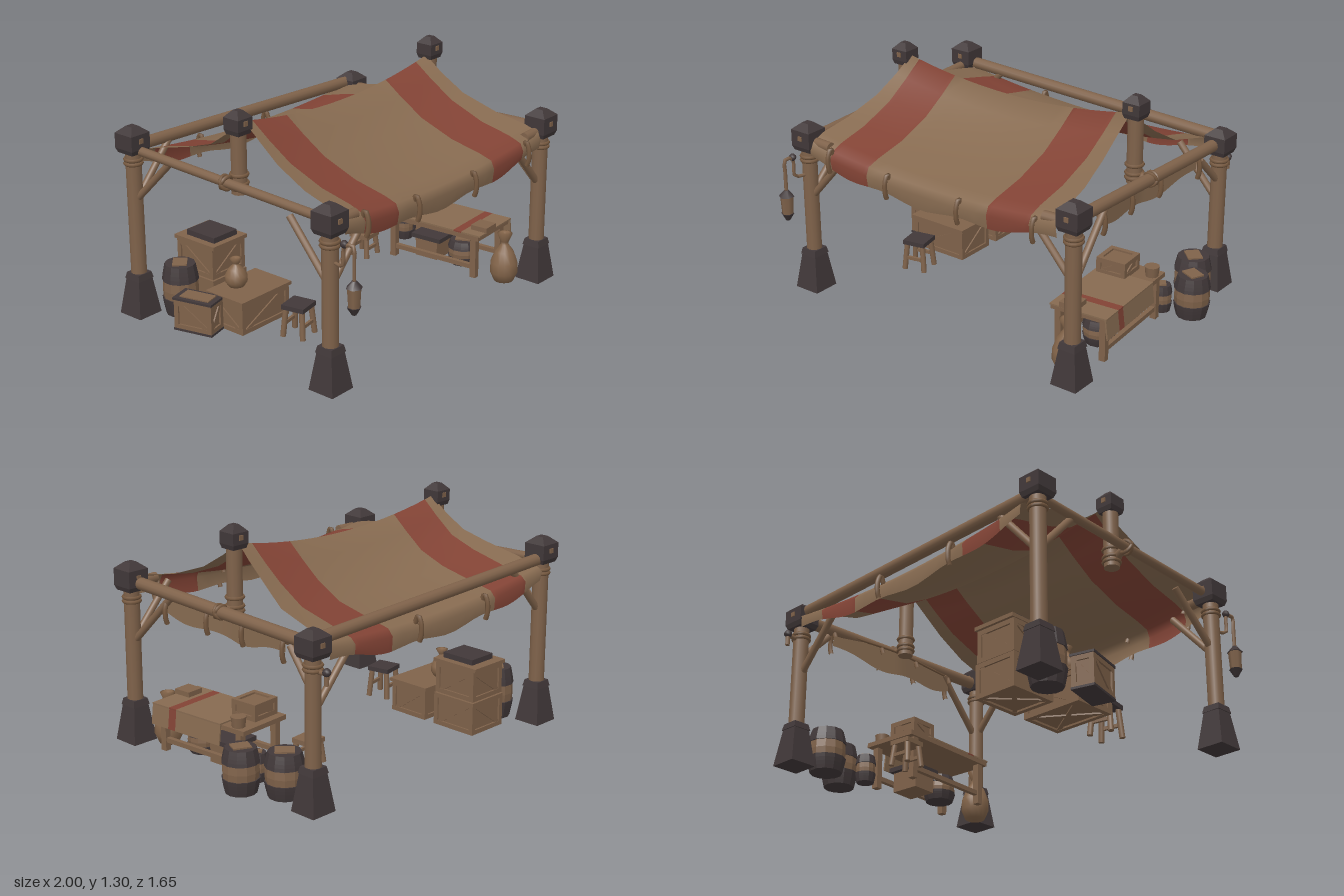
import * as THREE from 'three';

const mat = (name, color, side = THREE.FrontSide) => {
  const m = new THREE.MeshStandardMaterial({ color, side });
  m.name = name;
  return m;
};
const V = (x, y, z) => new THREE.Vector3(x, y, z);

export function createModel() {
  const root = new THREE.Group();
  const wood = mat('wood', 0x7f624a);
  const iron = mat('dark iron', 0x413839);
  const rope = mat('rope', 0x75583f);
  const sackcloth = mat('sackcloth', 0x84654a);
  const canvas = mat('tan canvas', 0x866a50, THREE.DoubleSide);
  const red = mat('red canvas', 0x824335, THREE.DoubleSide);

  const add = (name, geo, material, x = 0, y = 0, z = 0, parent = root) => {
    const m = new THREE.Mesh(geo, material);
    m.name = name;
    m.position.set(x, y, z);
    parent.add(m);
    return m;
  };
  const box = (name, w, h, d, material, x, y, z, parent) =>
    add(name, new THREE.BoxGeometry(w, h, d), material, x, y, z, parent);
  const group = (name, x, y, z, turn = 0, parent = root) => {
    const g = new THREE.Group();
    g.name = name;
    g.position.set(x, y, z);
    g.rotation.y = turn;
    parent.add(g);
    return g;
  };
  // round pole between two points
  const pole = (name, a, b, r, material = wood, parent = root) => {
    const m = add(name, new THREE.CylinderGeometry(r, r, a.distanceTo(b), 12), material, 0, 0, 0, parent);
    m.position.copy(a).add(b).multiplyScalar(0.5);
    m.quaternion.setFromUnitVectors(V(0, 1, 0), b.clone().sub(a).normalize());
    return m;
  };
  const tube = (name, pts, r, material = rope) =>
    add(name, new THREE.TubeGeometry(new THREE.CatmullRomCurve3(pts), 14, r, 6), material);
  const ring = (name, x, y, z, r, tilt = Math.PI / 2) => {
    const m = add(name, new THREE.TorusGeometry(r, 0.01, 6, 16), rope, x, y, z);
    m.rotation.x = tilt;
    return m;
  };
  // square tapered block, w = full widths at bottom and top
  const taper = (name, w0, w1, h, x, y, z) => {
    const g = new THREE.CylinderGeometry(w1 / Math.SQRT2, w0 / Math.SQRT2, h, 4, 1).toNonIndexed();
    g.rotateY(Math.PI / 4);
    g.computeVertexNormals();
    return add(name, g, iron, x, y, z);
  };
  const cap = (x, z, y0, y1, w) => {
    taper('capCollar', w * 0.85, w, 0.025, x, y0 + 0.0125, z);
    box('capBlock', w, y1 - y0 - 0.06, w, iron, x, (y0 + y1) / 2 - 0.005, z);
    taper('capPeak', w, w * 0.35, 0.035, x, y1 - 0.0175, z);
    for (const s of [-1, 1]) box('capStud', 0.025, 0.025, 0.008, wood, x, (y0 + y1) / 2, z + s * (w / 2 + 0.002));
  };

  // corner posts: x, z, cap bottom, cap top, drop of the side brace
  const corners = [[-0.92, 0.625, 0.83, 0.98, 0.22], [0.8, 0.625, 0.85, 1.0, 0.24],
    [-0.92, -0.705, 0.92, 1.06, 0.22], [0.8, -0.705, 0.8, 0.94, 0.12]];
  for (const [x, z, y0, y1, drop] of corners) {
    const sx = Math.sign(x), sz = Math.sign(z), b = y0 - 0.02;
    taper('foot', 0.152, 0.095, 0.2, x, 0.12, z);
    taper('footCollar', 0.105, 0.09, 0.035, x, 0.235, z);
    pole('post', V(x, 0.2, z), V(x, y1 - 0.05, z), 0.042);
    for (const dy of [0, 0.022]) ring('postBinding', x, b - 0.04 + dy, z, 0.043);
    pole('braceAlongSide', V(x, b - drop, z - sz * 0.03), V(x - sx * 0.02, b + 0.03, z - sz * (drop + 0.05)), 0.019);
    pole('braceAcross', V(x - sx * 0.02, b - 0.24, z), V(x - sx * 0.25, b + 0.02, z), 0.019);
    cap(x, z, y0, y1, 0.125);
    if (z > 0) pole('cornerStub', V(x, 0.88, z), V(x - sx * 0.17, 0.88, z + 0.01), 0.028);
  }

  // horizontal poles
  pole('rightRail', V(0.79, 0.895, 0.625), V(0.79, 0.855, -0.705), 0.033);
  pole('leftRail', V(-0.915, 0.89, 0.625), V(-0.915, 0.935, -0.705), 0.024);
  pole('backRail', V(-0.92, 0.945, -0.715), V(0.8, 0.885, -0.715), 0.032);

  // short ridge posts lashed to the side rails
  for (const [x, rail, railY, top] of [[-0.82, -0.915, 0.912, 1.26], [0.69, 0.79, 0.875, 1.3]]) {
    pole('ridgePost', V(x, 0.83, -0.05), V(x, top - 0.05, -0.05), 0.041);
    cap(x, -0.05, top - 0.12, top, 0.1);
    pole('ridgePeg', V(x, 0.87, -0.05), V(rail, railY, -0.05), 0.022);
    for (const dy of [0.86, 0.885, 0.93]) ring('ridgeBinding', x, dy, -0.05, 0.042);
    for (const t of [-0.4, 0.4]) ring('railLashing', rail, railY, -0.05, 0.035, t);
  }

  // sagging canopy: rows of [z, edge height, middle height, left x, right x]
  const rows = [
    [-0.755, 0.8, 0.72, -0.85, 0.74], [-0.76, 0.86, 0.79, -0.86, 0.74], [-0.73, 0.88, 0.83, -0.86, 0.74],
    [-0.6, 0.92, 0.85, -0.85, 0.73], [-0.4, 0.97, 0.89, -0.83, 0.71], [-0.25, 1.045, 0.96, -0.81, 0.68],
    [-0.14, 1.13, 1.045, -0.79, 0.67], [-0.05, 1.21, 1.12, -0.78, 0.66], [0.06, 1.13, 1.045, -0.79, 0.66],
    [0.2, 1.04, 0.96, -0.81, 0.67], [0.4, 0.96, 0.89, -0.84, 0.7], [0.58, 0.92, 0.855, -0.86, 0.72],
    [0.655, 0.89, 0.835, -0.87, 0.73], [0.675, 0.85, 0.79, -0.87, 0.73], [0.665, 0.8, 0.72, -0.86, 0.73]];
  const panel = (name, xa, xb, material) => {
    const n = 10, pos = [], idx = [];
    rows.forEach(([z, ye, ym, xl, xr], r) => {
      const a = xa ?? xl, b = xb ?? xr, hem = r === 0 || r === rows.length - 1;
      for (let i = 0; i <= n; i++) {
        const x = a + (b - a) * i / n;
        const y = ym + (ye - ym) * ((x + 0.07) / 0.78) ** 2 - (z < -0.3 ? 0.03 * x : 0);
        pos.push(x, y + (hem ? 0.012 * Math.sin(x * 13) : 0), z);
        if (r && i < n) {
          const p = (r - 1) * (n + 1) + i, q = p + n + 1;
          idx.push(p, q, p + 1, p + 1, q, q + 1);
        }
      }
    });
    const g = new THREE.BufferGeometry();
    g.setAttribute('position', new THREE.Float32BufferAttribute(pos, 3));
    g.setIndex(idx);
    g.computeVertexNormals();
    add(name, g, material);
  };
  const cuts = [null, -0.72, -0.47, 0.31, 0.57, null];
  for (let i = 0; i < 5; i++) panel(i % 2 ? 'canopyStripe' : 'canopyPanel', cuts[i], cuts[i + 1], i % 2 ? red : canvas);

  // side valance, drawn in at the ridge post and out to the rail at its ends
  const valanceX = z => 0.735 + 0.1 * Math.abs(z + 0.05);
  const val = new THREE.PlaneGeometry(0.87, 0.13, 24, 2);
  val.rotateY(Math.PI / 2);
  val.translate(0, 0.79, -0.065);
  const vp = val.attributes.position;
  for (let i = 0; i < vp.count; i++) {
    const z = vp.getZ(i), low = vp.getY(i) < 0.78 ? 1 : 0;
    vp.setX(i, valanceX(z));
    vp.setY(i, vp.getY(i) + low * (0.012 * Math.sin(z * 15 + 1) + 0.25 * (z + 0.065) ** 2));
  }
  val.computeVertexNormals();
  add('sideValance', val, canvas);
  tube('valanceRope', [0.4, 0.2, -0.05, -0.3, -0.52].map(z => V(valanceX(z), 0.86, z)), 0.007);

  // hanging cloth ties
  const tie = (x, y, z, dx, dz) => tube('clothTie', [V(x - dx, y, z - dz), V(x, y + 0.04, z), V(x + dx, y, z + dz),
    V(x + dx, y - 0.06, z + dz), V(x + dx * 0.5, y - 0.09, z + dz * 0.5)], 0.013);
  for (const x of [-0.72, -0.33, 0.135, 0.6]) tie(x, 0.8 + 0.1 * x * x, 0.67, 0, 0.02);
  for (const x of [-0.39, 0.12]) tie(x, 0.82, -0.755, 0, -0.02);
  for (const z of [0.36, 0.08, -0.18, -0.5]) tie(valanceX(z), 0.81, z, 0.02, 0);
  for (const [x, z, y] of corners) tube('cornerRope', [V(x, y + 0.02, z), V(x * 0.95, y + 0.02, z), V(x < 0 ? -0.85 : 0.72, 0.88, z * 0.97)], 0.009);

  // hanging lantern on the front left post
  tube('lanternArm', [V(-0.92, 0.69, 0.64), V(-0.94, 0.7, 0.72), V(-0.94, 0.8, 0.73), V(-0.94, 0.81, 0.79), V(-0.94, 0.75, 0.79), V(-0.94, 0.63, 0.79)], 0.01, wood);
  add('lanternArmKnob', new THREE.SphereGeometry(0.02, 8, 6), iron, -0.94, 0.81, 0.73);
  add('lanternRoof', new THREE.CylinderGeometry(0.012, 0.042, 0.035, 6), iron, -0.94, 0.625, 0.79);
  add('lanternBody', new THREE.CylinderGeometry(0.036, 0.03, 0.1, 6), wood, -0.94, 0.56, 0.79);
  add('lanternBase', new THREE.CylinderGeometry(0.036, 0.012, 0.04, 6), iron, -0.94, 0.49, 0.79);
  // peg on the back right post
  pole('peg', V(0.8, 0.73, -0.7), V(0.8, 0.74, -0.8), 0.012);
  pole('pegHook', V(0.8, 0.68, -0.795), V(0.8, 0.75, -0.795), 0.012);
  add('pegKnob', new THREE.SphereGeometry(0.022, 8, 6), iron, 0.8, 0.745, -0.795);

  // barrels: wooden belly with iron ends
  const barrel = (x, z, r, h, y = 0.035) => {
    const g = group('barrel', x, y, z, x * 3);
    const rad = t => r * (0.8 + 0.2 * Math.sin(Math.PI * t));
    const band = (name, t0, t1, grow, m) => {
      const pts = [new THREE.Vector2(0, t0 * h)];
      for (let i = 0; i <= 4; i++) {
        const t = t0 + (t1 - t0) * i / 4;
        pts.push(new THREE.Vector2(rad(t) + grow, t * h));
      }
      pts.push(new THREE.Vector2(0, t1 * h));
      const geo = new THREE.LatheGeometry(pts, 12).toNonIndexed();
      geo.computeVertexNormals();
      add(name, geo, m, 0, 0, 0, g);
    };
    band('barrelStaves', 0.02, 0.97, 0, wood);
    band('barrelLowerHoop', 0, 0.34, 0.005, iron);
    band('barrelUpperHoop', 0.68, 1, 0.005, iron);
    box('barrelLid', r, 0.01, r * 0.8, wood, 0, h + 0.003, 0, g);
  };
  barrel(0.905, -0.31, 0.095, 0.235);
  barrel(0.79, -0.5, 0.1, 0.235);
  barrel(-0.8, -0.52, 0.095, 0.28);
  barrel(0.68, 0.22, 0.085, 0.14);
  barrel(0.75, -0.26, 0.052, 0.15);

  // crates with framed edges and diagonal boards
  const crate = (x, y, z, w, h, d, turn = 0, parent = root) => {
    const g = group('crate', x, y + h / 2, z, turn, parent), t = 0.025;
    box('crateBody', w - 0.02, h - 0.02, d - 0.02, wood, 0, 0, 0, g);
    for (const a of [-1, 1]) for (const b of [-1, 1]) {
      box('crateRail', w, t, t, wood, 0, a * (h - t) / 2, b * (d - t) / 2, g);
      box('crateRail', t, t, d, wood, a * (w - t) / 2, b * (h - t) / 2, 0, g);
      box('cratePost', t, h, t, wood, a * (w - t) / 2, 0, b * (d - t) / 2, g);
    }
    for (const s of [-1, 1]) {
      box('crateDiagonal', Math.hypot(w, h) - 0.05, 0.022, 0.012, wood, 0, 0, s * (d / 2 - 0.008), g).rotation.z = Math.atan2(h, w);
      box('crateDiagonal', 0.012, 0.022, Math.hypot(d, h) - 0.05, wood, s * (w / 2 - 0.008), 0, 0, g).rotation.x = Math.atan2(h, d);
      box('crateFloorDiagonal', Math.hypot(w, d) - 0.06, 0.012, 0.022, wood, 0, 0.008 - h / 2, 0, g).rotation.y = s * Math.atan2(d, w);
    }
    return g;
  };
  crate(-0.58, 0.035, -0.51, 0.25, 0.18, 0.27);
  crate(-0.58, 0.22, -0.51, 0.24, 0.17, 0.26);
  box('crateLid', 0.25, 0.02, 0.29, wood, -0.58, 0.4, -0.51);
  box('darkChest', 0.17, 0.03, 0.2, iron, -0.58, 0.425, -0.5);
  crate(-0.63, 0.035, -0.19, 0.35, 0.17, 0.24);
  box('crateLid', 0.37, 0.018, 0.26, wood, -0.63, 0.213, -0.19);
  // chest with iron lid and base by the left rail
  const chest = crate(-0.89, 0.045, -0.3, 0.12, 0.16, 0.22, 0.25);
  box('chestLid', 0.13, 0.012, 0.23, iron, 0, 0.086, 0, chest);
  box('chestLidBoard', 0.085, 0.008, 0.17, wood, 0, 0.094, 0, chest);
  box('chestBase', 0.125, 0.012, 0.225, iron, 0, -0.084, 0, chest);

  // tied sacks
  const sack = (x, y, z, r, h) => add('sack', new THREE.LatheGeometry(
    [[0, 0], [0.7, 0.02], [1, 0.2], [0.97, 0.4], [0.66, 0.62], [0.27, 0.76], [0.3, 0.82], [0.55, 0.98], [0.3, 1], [0, 0.95]]
      .map(([a, b]) => new THREE.Vector2(a * r, b * h)), 14), sackcloth, x, y, z);
  sack(0.68, 0, 0.5, 0.077, 0.29);
  sack(-0.67, 0.22, -0.24, 0.06, 0.16);

  // stools
  const stool = (x, z, w, h, turn, seatMat) => {
    const g = group('stool', x, 0.035, z, turn);
    box('stoolSeat', w, 0.025, w, seatMat, 0, h - 0.012, 0, g);
    for (const a of [-1, 1]) {
      for (const b of [-1, 1])
        pole('stoolLeg', V(a * w * 0.46, 0, b * w * 0.45), V(a * w * 0.36, h - 0.02, b * w * 0.36), 0.015, wood, g);
      box('stoolRung', w * 0.8, 0.018, 0.015, wood, 0, h * 0.4, a * w * 0.42, g);
    }
  };
  stool(-0.6, 0.13, 0.13, 0.175, 0.2, iron);
  stool(0.41, -0.28, 0.12, 0.135, 0.1, wood);

  // slightly turned table with draped runner and goods
  const table = group('table', 0.66, 0, 0.11, 0.08);
  box('tableTop', 0.32, 0.025, 0.62, wood, 0, 0.275, 0, table);
  for (const x of [-0.13, 0.13]) {
    for (const z of [0.27, -0.26]) box('tableLeg', 0.035, 0.23, 0.035, wood, x, 0.15, z, table);
    box('tableRail', 0.025, 0.025, 0.53, wood, x, 0.095, 0.005, table);
  }
  const drape = (name, z0, z1, m) => {
    box(name, 0.33, 0.008, z1 - z0, m, 0.005, 0.292, (z0 + z1) / 2, table);
    box(name, 0.008, 0.115, z1 - z0, m, 0.17, 0.238, (z0 + z1) / 2, table).rotation.z = 0.12;
  };
  drape('tableCloth', -0.16, 0.15, canvas);
  drape('tableClothStripe', 0.15, 0.2, red);
  drape('tableCloth', 0.2, 0.32, canvas);
  crate(-0.055, 0.29, -0.19, 0.17, 0.09, 0.16, 0, table);
  box('smallBox', 0.1, 0.03, 0.1, wood, -0.05, 0.308, 0.275, table);
  add('pot', new THREE.CylinderGeometry(0.04, 0.034, 0.055, 10), wood, 0.12, 0.315, -0.24, table);
  box('tubUnderTable', 0.16, 0.11, 0.14, wood, 0.02, 0.09, -0.09, table);
  box('tubRim', 0.18, 0.025, 0.19, iron, 0.02, 0.155, -0.09, table);

  return root;
}
